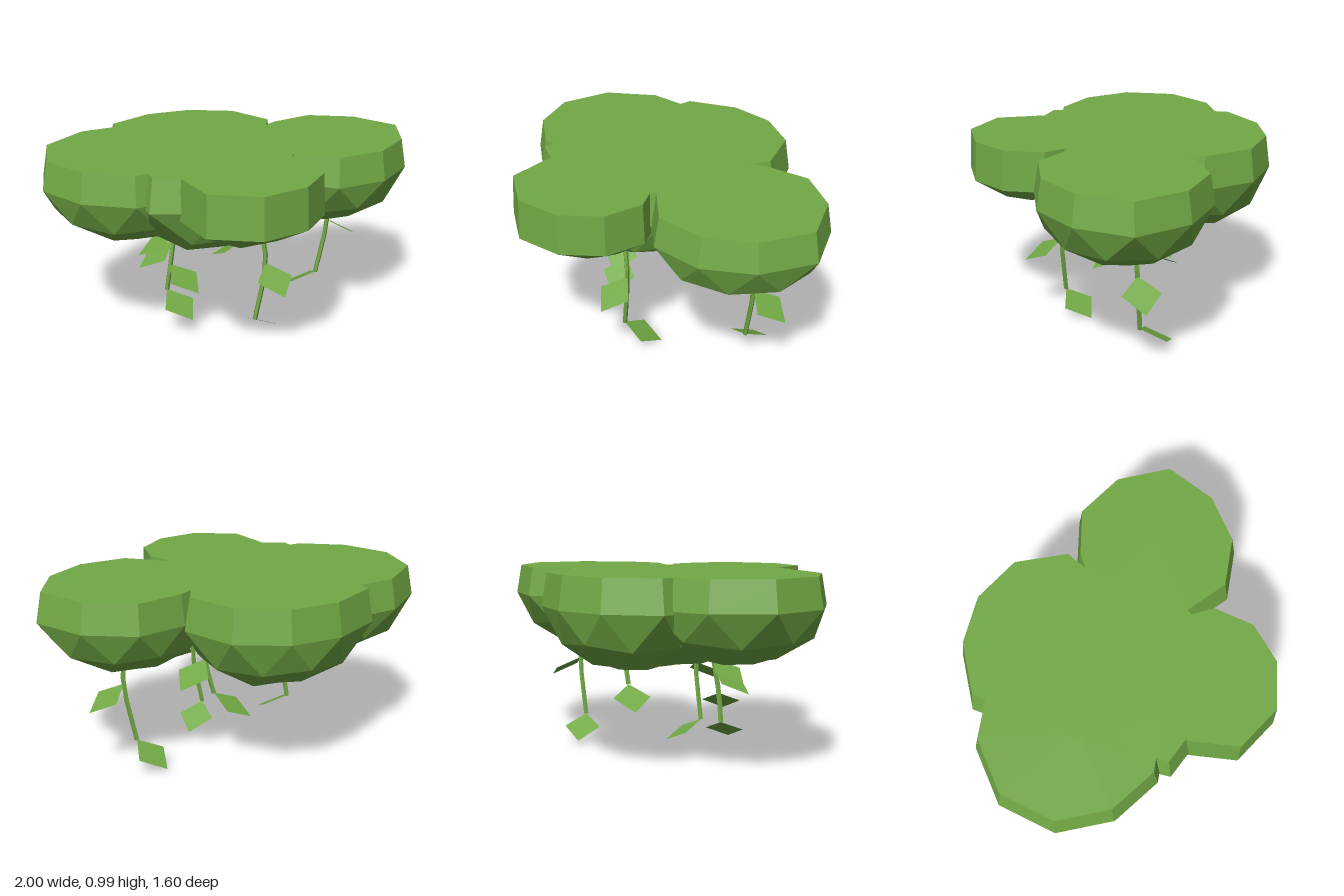
import * as THREE from 'three';

const foliage = new THREE.MeshStandardMaterial({ color: 0x72a945, flatShading: true, side: THREE.DoubleSide });
foliage.name = 'leafGreen';

const TOP = 1;

// Cross-section rules as [scale of outline, fraction of depth]
const roundProfile = [[0.94, 0], [1, 0.34], [0.88, 0.69], [0.47, 0.92]];
const slabProfile = [[0.97, 0], [1, 0.68], [0.72, 0.92]];

function triangleMesh(name, points) {
  const geo = new THREE.BufferGeometry().setFromPoints(points);
  geo.computeVertexNormals();
  const mesh = new THREE.Mesh(geo, foliage);
  mesh.name = name;
  return mesh;
}

// Faceted clump: evenly spaced radii around a centre [x, z], flat on top.
// Below the widest ring, each ring is turned by half a step.
function clump(name, [cx, cz], bottom, profile, radii) {
  const n = radii.length;
  const rim = (i) => {
    const angle = (i / n) * Math.PI * 2, r = radii[i % n];
    return new THREE.Vector3(r * Math.cos(angle), 0, -r * Math.sin(angle));
  };
  const at = (k, i) => {
    const [scale, depth] = profile[k];
    const shift = Math.max(0, k - 1) / 2;
    const wobble = k > 1 ? Math.sin((i % n) * 2.4 + k * 1.7) : 0;
    const p = rim(i + Math.floor(shift)).lerp(rim(i + Math.ceil(shift)), 0.5);
    p.multiplyScalar(scale * (1 + 0.035 * wobble));
    return p.add(new THREE.Vector3(cx, TOP - depth * (TOP - bottom) + wobble * 0.015, cz));
  };
  const top = new THREE.Vector3(cx, TOP, cz);
  const base = new THREE.Vector3(cx, bottom, cz);
  const last = profile.length - 1, pts = [];
  for (let i = 0; i < n; i++) {
    pts.push(top, at(0, i), at(0, i + 1));
    for (let k = 0; k < last; k++) {
      pts.push(at(k, i), at(k + 1, i), at(k, i + 1));
      pts.push(at(k + 1, i), at(k + 1, i + 1), at(k, i + 1));
    }
    pts.push(at(last, i), base, at(last, i + 1));
  }
  return triangleMesh(name, pts);
}

// Diamond leaf: drops from its base along a heading, with level side corners
function leaf(base, heading) {
  const along = new THREE.Vector3(Math.cos(heading) * 0.2, -0.115, Math.sin(heading) * 0.2);
  const side = new THREE.Vector3(Math.sin(heading) * 0.1, 0, -Math.cos(heading) * 0.1);
  const tip = base.clone().add(along);
  const middle = base.clone().addScaledVector(along, 0.48);
  const a = middle.clone().add(side), b = middle.clone().sub(side);
  return triangleMesh('leaf', [base, tip, a, base, b, tip]);
}

// Hanging vine: bent stem, with leaves given as [position along stem, heading]
function vine(name, path, leaves) {
  const group = new THREE.Group();
  group.name = name;
  const curve = new THREE.CatmullRomCurve3(path.map((p) => new THREE.Vector3(...p)));
  const stem = new THREE.Mesh(new THREE.TubeGeometry(curve, 4, 0.013, 5), foliage);
  stem.name = 'stem';
  group.add(stem);
  leaves.forEach(([t, heading]) => group.add(leaf(curve.getPoint(t), heading)));
  return group;
}

export function createModel() {
  const model = new THREE.Group();
  model.name = 'hangingFoliage';

  // Overlapping clumps of the canopy
  model.add(
    clump('leftClump', [0.5, 0.03], 0.55, roundProfile,
      [0.5, 0.46, 0.44, 0.39, 0.42, 0.4, 0.42, 0.45, 0.44, 0.45]),
    clump('backClump', [-0.08, -0.38], 0.51, roundProfile,
      [0.48, 0.46, 0.43, 0.44, 0.5, 0.45, 0.45, 0.42, 0.38, 0.42]),
    clump('rightClump', [-0.52, -0.13], 0.55, roundProfile,
      [0.42, 0.4, 0.52, 0.5, 0.5, 0.48, 0.45, 0.45, 0.44, 0.35]),
    clump('middleClump', [-0.13, 0], 0.5, roundProfile,
      [0.46, 0.45, 0.55, 0.6, 0.55, 0.47, 0.6, 0.53, 0.54, 0.45]),
    clump('frontClump', [-0.1, 0.4], 0.69, slabProfile,
      [0.34, 0.3, 0.25, 0.25, 0.35, 0.38, 0.44, 0.42, 0.38, 0.36]),
  );

  // Vines below the canopy
  model.add(
    vine('leftVine', [[0.575, 0.62, -0.02], [0.585, 0.47, -0.03], [0.53, 0.15, -0.05]],
      [[0.5, -0.1], [1, -2.05]]),
    vine('frontVine', [[0, 0.62, 0.31], [0.02, 0.45, 0.32], [-0.03, 0.125, 0.3]],
      [[0.5, 1.52], [1, -0.71]]),
    vine('shortVine', [[0.18, 0.62, -0.14], [0.16, 0.5, -0.15], [0.13, 0.38, -0.16]],
      [[0.2, -0.42], [1, -2.42]]),
    vine('rightVine', [[-0.33, 0.6, -0.05], [-0.37, 0.37, -0.04], [-0.39, 0.22, -0.05]],
      [[0.1, -3.03], [0.22, 3.09], [0.5, 1.11], [1, 1.2]]),
  );
  return model;
}
